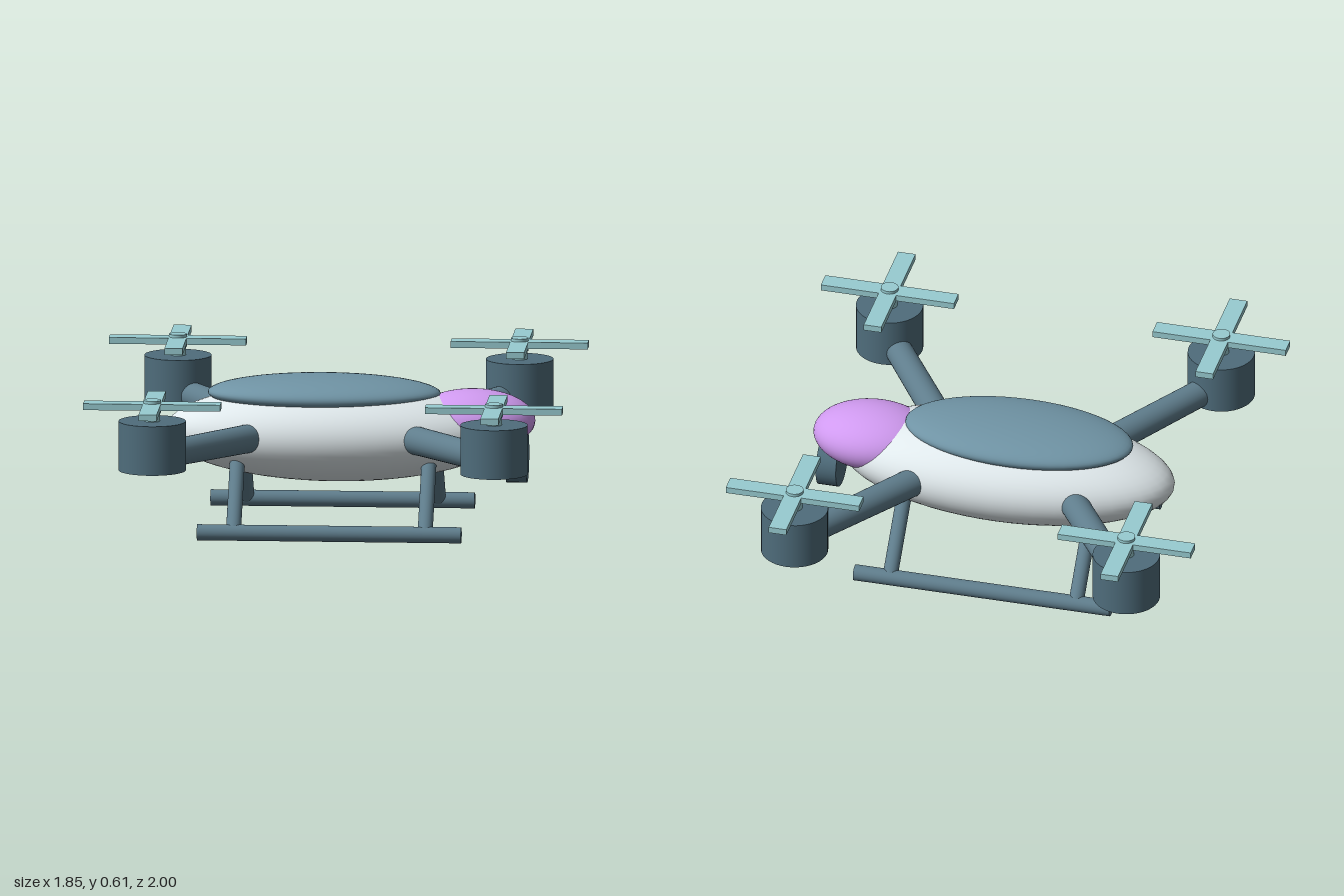
import * as THREE from 'three';

const mat = (color) => new THREE.MeshStandardMaterial({ color });

export function createModel() {
  const model = new THREE.Group();
  model.name = 'drone';
  const shell = mat(0xe0e9ec), canopyMat = mat(0x6f93a4), strut = mat(0x5f7d8c);
  const motorMat = mat(0x4f6d7c), rotorMat = mat(0x98ccd1), noseMat = mat(0xd09af0);

  const add = (name, geometry, material, x = 0, y = 0, z = 0, parent = model) => {
    const mesh = new THREE.Mesh(geometry, material);
    mesh.name = name;
    mesh.position.set(x, y, z);
    parent.add(mesh);
    return mesh;
  };
  const ellipsoid = (name, rx, ry, rz, material, x, y) =>
    add(name, new THREE.SphereGeometry(1, 48, 32).scale(rx, ry, rz), material, x, y, 0);
  // Round bar running from point a to point b
  const bar = (name, a, b, ra, rb, material) => {
    const from = new THREE.Vector3(...a), to = new THREE.Vector3(...b);
    const dir = to.clone().sub(from);
    const mesh = add(name, new THREE.CylinderGeometry(rb, ra, dir.length(), 32), material);
    mesh.position.copy(from).add(to).multiplyScalar(0.5);
    mesh.quaternion.setFromUnitVectors(new THREE.Vector3(0, 1, 0), dir.normalize());
    return mesh;
  };

  // Fuselage
  ellipsoid('body', 0.66, 0.19, 0.285, shell, 0, 0.365);
  ellipsoid('canopy', 0.45, 0.07, 0.22, canopyMat, -0.045, 0.515);
  ellipsoid('nose', 0.24, 0.12, 0.175, noseMat, 0.53, 0.415);

  // Camera disc under the nose
  bar('camera', [0.66, 0.273, 0], [0.74, 0.273, 0], 0.1, 0.1, motorMat);

  // Four arms, each with a motor and a crossed rotor
  for (const sx of [-1, 1]) for (const sz of [-1, 1]) {
    bar('arm', [sx * 0.25, 0.367, sz * 0.11], [sx * 0.66, 0.386, sz * 0.735], 0.056, 0.052, strut);

    const pod = new THREE.Group();
    pod.name = 'motorPod';
    pod.position.set(sx * 0.66, 0, sz * 0.735);
    model.add(pod);
    add('motor', new THREE.CylinderGeometry(0.13, 0.13, 0.192, 40), motorMat, 0, 0.43, 0, pod);
    add('shaft', new THREE.CylinderGeometry(0.03, 0.03, 0.05, 24), rotorMat, 0, 0.545, 0, pod);
    add('hub', new THREE.CylinderGeometry(0.034, 0.034, 0.05, 24), rotorMat, 0, 0.583, 0, pod);
    add('bladeX', new THREE.BoxGeometry(0.53, 0.025, 0.07), rotorMat, 0, 0.584, 0, pod);
    add('bladeZ', new THREE.BoxGeometry(0.07, 0.025, 0.53), rotorMat, 0, 0.584, 0, pod);
  }

  // Landing skids with splayed legs
  for (const sz of [-1, 1]) {
    bar('skid', [-0.51, 0.031, sz * 0.388], [0.51, 0.031, sz * 0.388], 0.031, 0.031, strut);
    for (const x of [-0.37, 0.37])
      bar('skidLeg', [x, 0.033, sz * 0.386], [x, 0.28, sz * 0.155], 0.029, 0.029, strut);
  }
  return model;
}
